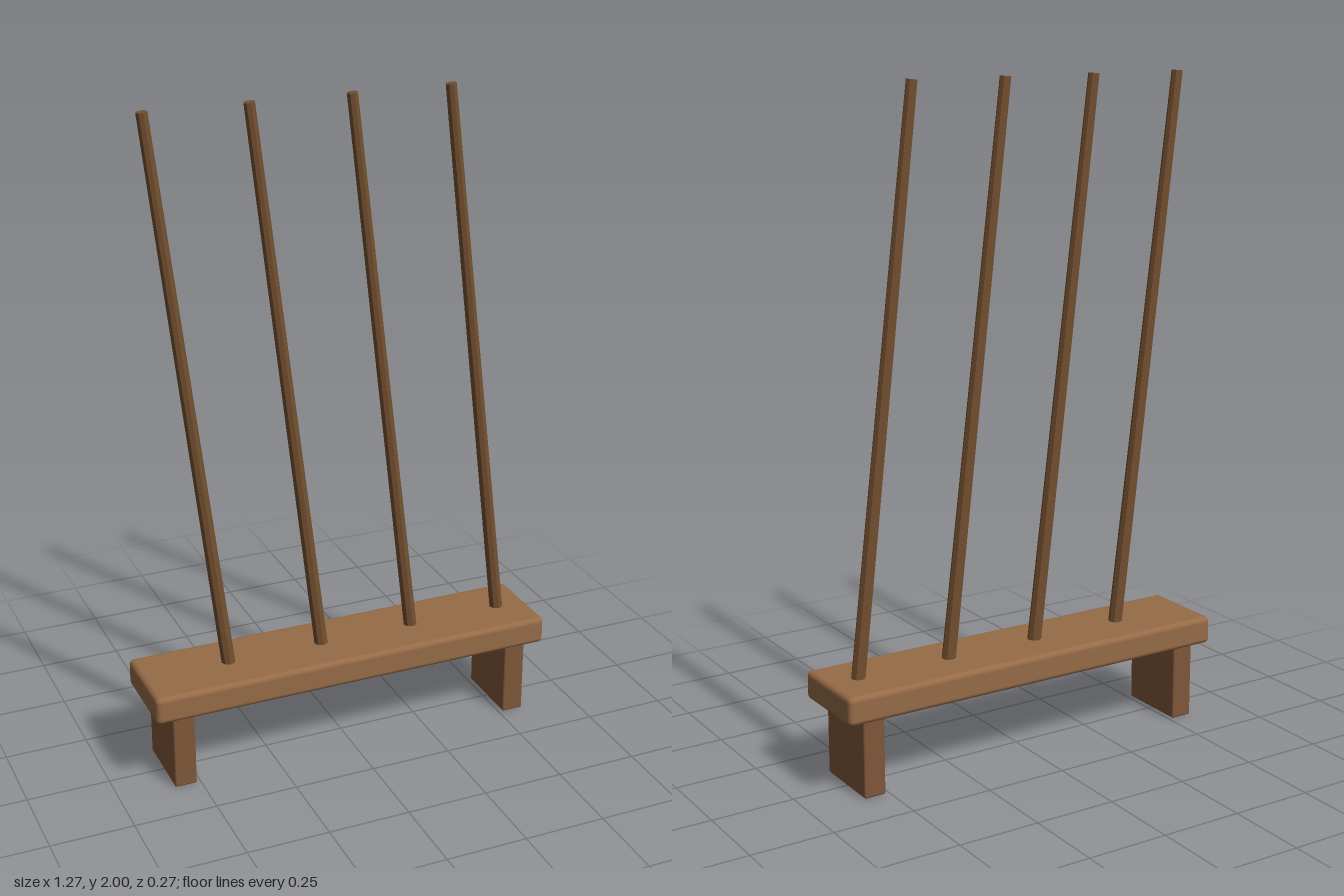
import * as THREE from 'three';
import { RoundedBoxGeometry } from 'three/addons/geometries/RoundedBoxGeometry.js';

const plankWood = new THREE.MeshStandardMaterial({ color: 0x966b47 });
const legWood = new THREE.MeshStandardMaterial({ color: 0x7f573a });
const rodWood = new THREE.MeshStandardMaterial({ color: 0x735030, flatShading: true });

function roundedBlock(name, size, radius, material, x, y) {
  const mesh = new THREE.Mesh(new RoundedBoxGeometry(...size, 3, radius), material);
  mesh.name = name;
  mesh.position.set(x, y, 0);
  return mesh;
}

export function createModel() {
  const model = new THREE.Group();
  model.name = 'rodRack';

  // Plank seat with softened edges
  model.add(roundedBlock('plank', [1.27, 0.086, 0.27], 0.016, plankWood, 0, 0.278));

  // Two slab legs, sunk slightly into the plank
  for (const [side, name] of [[-1, 'rightLeg'], [1, 'leftLeg']]) {
    model.add(roundedBlock(name, [0.068, 0.26, 0.224], 0.006, legWood, side * 0.546, 0.13));
  }

  // Four slim tapered rods, leaning and poking out below the plank
  const foot = new THREE.Vector2(-0.35, 0.194);
  const tip = new THREE.Vector2(-0.565, 1.998);
  const lean = tip.clone().sub(foot);
  const rodGeometry = new THREE.CylinderGeometry(0.0165, 0.0215, lean.length(), 8);
  for (let i = 0; i < 4; i++) {
    const rod = new THREE.Mesh(rodGeometry, rodWood);
    rod.name = `rod${i + 1}`;
    rod.position.set((foot.x + tip.x) / 2 + i * 0.3, (foot.y + tip.y) / 2, 0);
    rod.rotation.z = Math.atan2(-lean.x, lean.y);
    model.add(rod);
  }
  return model;
}
